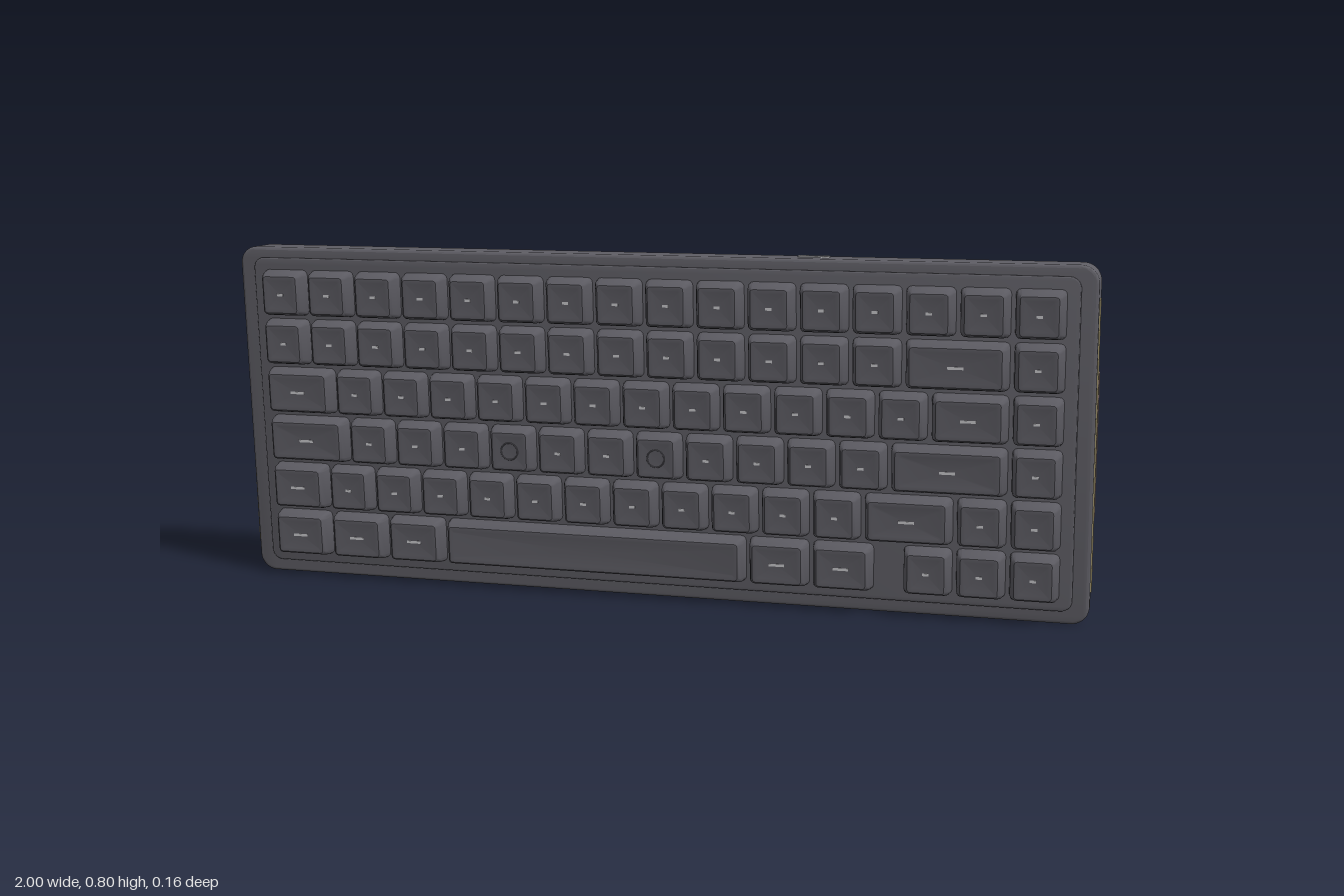
import * as THREE from 'three';
import { toCreasedNormals } from 'three/addons/utils/BufferGeometryUtils.js';

const TILT = 0.073; // slope of the typing surface
const frontZ = (y) => -0.02 + TILT * y;
const UNIT = 0.117, GAP = 0.009, ROW_TOP = 0.69;

// Key widths per row in key units; negative means an empty space
const ROWS = [
  Array(16).fill(1),
  [...Array(13).fill(1), 2, 1],
  [1.5, ...Array(12).fill(1), 1.5, 1],
  [1.75, ...Array(11).fill(1), 2.25, 1],
  [1.25, ...Array(11).fill(1), 1.75, 1, 1],
  [1.25, 1.25, 1.25, 6.25, 1.25, 1.25, -0.5, 1, 1, 1],
];

function mat(name, color) {
  const m = new THREE.MeshStandardMaterial({ color });
  m.name = name;
  return m;
}

function roundedRect(w, h, r, Type = THREE.Shape) {
  const s = new Type(), x = w / 2 - r, y = h / 2 - r;
  s.absarc(x, y, r, 0, Math.PI / 2);
  s.absarc(-x, y, r, Math.PI / 2, Math.PI);
  s.absarc(-x, -y, r, Math.PI, Math.PI * 1.5);
  s.absarc(x, -y, r, Math.PI * 1.5, Math.PI * 2);
  s.closePath();
  return s;
}

// Bevelled slab between a flat back and a front given by a function of y
function slab(w, y0, y1, r, bevel, back, front) {
  const depth = 0.02;
  const geo = new THREE.ExtrudeGeometry(roundedRect(w, y1 - y0, r), {
    depth, bevelThickness: bevel, bevelSize: bevel, bevelOffset: -bevel,
    bevelSegments: 3, curveSegments: 6,
  });
  geo.translate(0, (y0 + y1) / 2, 0);
  const p = geo.attributes.position;
  for (let i = 0; i < p.count; i++) {
    const z = p.getZ(i);
    p.setZ(i, z > depth / 2 ? front(p.getY(i)) + z - depth - bevel : back + z + bevel);
  }
  return toCreasedNormals(geo, 0.6);
}

// Keycap: rounded-rectangle rings [inset, z] rising to a slightly dished top
function keycap(w, h) {
  const rings = [[0, 0], [0.003, 0.02], [0.008, 0.034], [0.013, 0.04], [0.016, 0.0405], [0.024, 0.039]];
  const corner = 3, n = 4 * (corner + 1), pos = [], idx = [];
  for (const [inset, z] of rings) {
    const r = Math.max(0.004, 0.012 - inset * 0.4);
    for (let q = 0; q < 4; q++) {
      const cx = (q === 0 || q === 3 ? 1 : -1) * (w / 2 - inset - r);
      const cy = (q < 2 ? 1 : -1) * (h / 2 - inset * 0.85 - r);
      for (let k = 0; k <= corner; k++) {
        const a = (q + k / corner) * Math.PI / 2;
        pos.push(cx + r * Math.cos(a), cy + r * Math.sin(a), z);
      }
    }
  }
  for (let i = 0; i < rings.length - 1; i++) {
    for (let j = 0; j < n; j++) {
      const a = i * n + j, b = i * n + (j + 1) % n;
      idx.push(a, b, b + n, a, b + n, a + n);
    }
  }
  const last = (rings.length - 1) * n;
  pos.push(0, 0, 0.0385);
  for (let j = 0; j < n; j++) idx.push(last + j, last + (j + 1) % n, rings.length * n);
  const geo = new THREE.BufferGeometry();
  geo.setAttribute('position', new THREE.Float32BufferAttribute(pos, 3));
  geo.setIndex(idx);
  return toCreasedNormals(geo, 0.6);
}

export function createModel() {
  const model = new THREE.Group();
  model.name = 'keyboard';
  const caseGrey = mat('case grey', 0x5e5d64);
  const keyGrey = mat('keycap grey', 0x5b5a61);
  const gold = mat('pale gold', 0xcdbd8c);
  const pink = mat('dusty pink', 0xc9a9a2);
  const light = mat('light grey', 0xc4c4c8);

  const add = (name, geo, material, x = 0, y = 0, z = 0, parent = model) => {
    const m = new THREE.Mesh(geo, material);
    m.name = name;
    m.position.set(x, y, z);
    parent.add(m);
    return m;
  };

  // Wedge-shaped case, raised deck and bottom plate
  add('case', slab(1.994, 0, 0.797, 0.04, 0.007, -0.053, frontZ), caseGrey);
  add('deck', slab(1.92, 0.03, 0.772, 0.025, 0.003, -0.04, (y) => frontZ(y) + 0.006), caseGrey);
  add('bottomPlate', slab(1.95, 0.042, 0.755, 0.03, 0.004, -0.063, () => -0.04), caseGrey);

  // Keys on the sloped deck
  const keys = new THREE.Group();
  keys.name = 'keys';
  keys.position.z = -0.02;
  keys.rotation.x = Math.atan(TILT);
  model.add(keys);
  const cache = new Map();
  ROWS.forEach((row, r) => {
    let x = -8 * UNIT;
    const y = ROW_TOP - r * UNIT + 0.003;
    row.forEach((units, i) => {
      const w = Math.abs(units) * UNIT, cx = x + w / 2;
      x += w;
      if (units < 0) return;
      if (!cache.has(units)) cache.set(units, keycap(w - GAP, UNIT - GAP));
      add('keycap', cache.get(units), keyGrey, cx, y, 0.007, keys);
      if (r === 3 && (i === 4 || i === 7)) {
        // Rings on the two home keys
        add('homeKeyRing', new THREE.TorusGeometry(0.02, 0.0015, 6, 24), caseGrey, cx, y, 0.046, keys);
      } else if (units < 6) {
        // Small plain mark on each key
        add('keyMark', new THREE.BoxGeometry(units > 1 ? 0.035 : 0.014, 0.006, 0.001), light, cx, y, 0.0462, keys);
      }
    });
  });

  // Side trim: sloping gold stripe and pink panel on both sides
  for (const s of [-1, 1]) {
    const stripe = add(s > 0 ? 'leftStripe' : 'rightStripe',
      new THREE.BoxGeometry(0.006, 0.651, 0.009), gold, s * 0.997, 0.4, -0.0075);
    stripe.rotation.x = Math.atan(0.041 / 0.65);
    add(s > 0 ? 'leftSidePanel' : 'rightSidePanel',
      new THREE.BoxGeometry(0.006, 0.32, 0.02), pink, s * 0.997, 0.4, -0.04);
  }

  // Feet: pink surround with a grey pad
  for (const x of [-0.785, 0.785]) {
    for (const y of [0.103, 0.697]) {
      add('footSurround', new THREE.BoxGeometry(0.22, 0.076, 0.01), pink, x, y, -0.065);
      add('footPad', new THREE.BoxGeometry(0.208, 0.064, 0.015), caseGrey, x, y, -0.068);
    }
  }

  // Cable port rim in the top edge
  const rim = roundedRect(0.072, 0.024, 0.008);
  rim.holes.push(roundedRect(0.062, 0.014, 0.005, THREE.Path));
  const port = add('portRim', new THREE.ExtrudeGeometry(rim, { depth: 0.004, bevelEnabled: false }),
    light, 0.375, 0.796, -0.012);
  port.rotation.x = -Math.PI / 2;

  return model;
}
